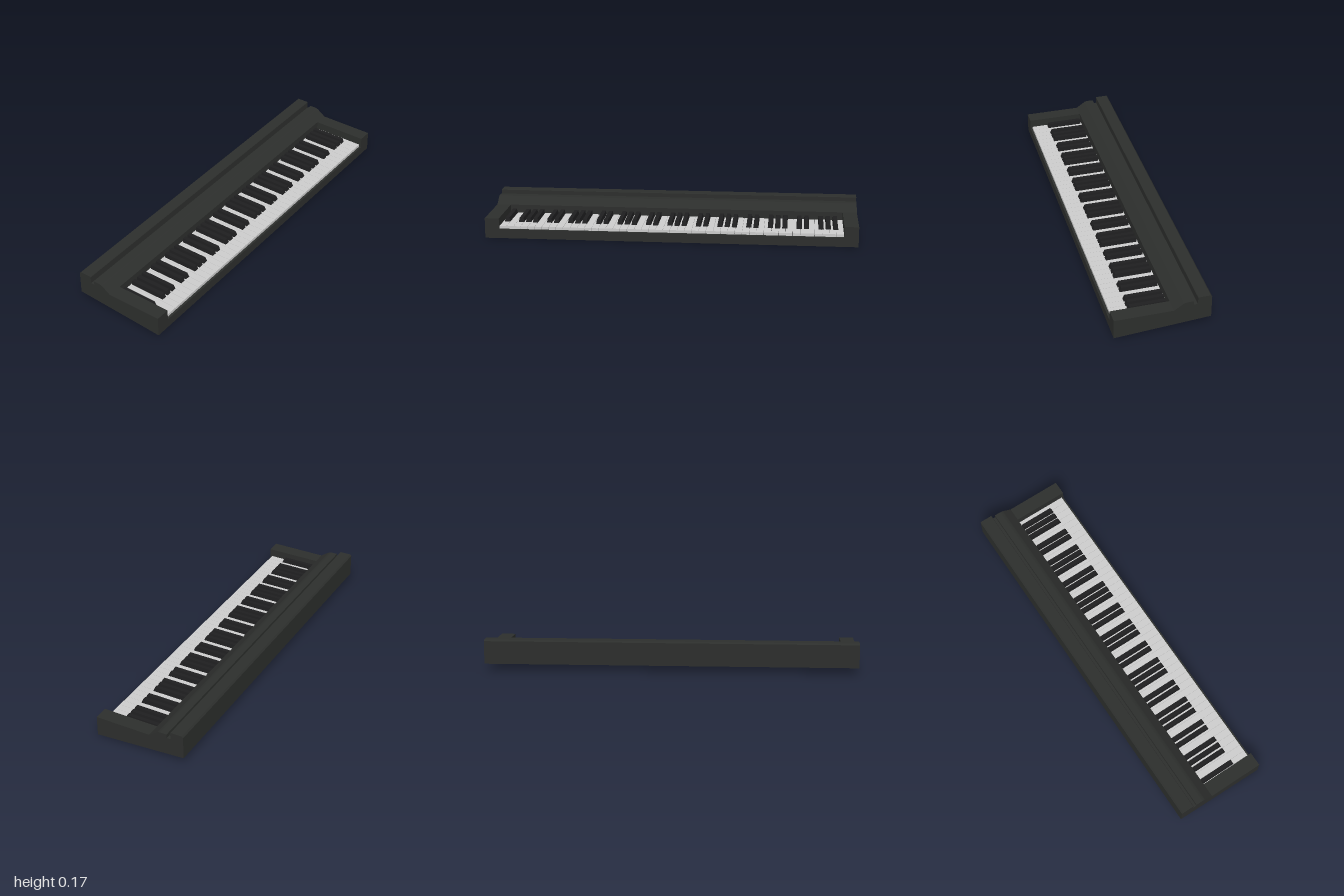
import * as THREE from 'three';

const mat = (color) => new THREE.MeshStandardMaterial({ color, flatShading: true });
const caseMat = mat(0x2c2e2c);
const plateMat = mat(0x181818);
const blackMat = mat(0x1e1e1f);
const whiteMat = mat(0xcccccc);

const BAY = 0.923;        // half length of the key bay
const BAY_BACK = -0.056;  // where the key bay meets the rear housing
const RAIL = 0.238;       // inner face of the front rail
const under = (x) => 0.0175 - 0.07 * x; // sloping underside

function add(parent, name, geometry, material, x = 0, y = 0, z = 0) {
  const mesh = new THREE.Mesh(geometry, material);
  mesh.name = name;
  mesh.position.set(x, y, z);
  parent.add(mesh);
  return mesh;
}

// Cross-section in x/y swept along z between z0 and z1
function sweep(points, z0, z1) {
  const shape = new THREE.Shape(points.map(([x, y]) => new THREE.Vector2(x, y)));
  return new THREE.ExtrudeGeometry(shape, { depth: z1 - z0, bevelEnabled: false }).translate(0, 0, z0);
}

// Box standing on y = 0 whose top is drawn in at the front and the sides
function blackKeyGeometry(length, height, width) {
  const g = new THREE.BoxGeometry(length, height, width).translate(0, height / 2, 0);
  const p = g.attributes.position;
  for (let i = 0; i < p.count; i++) {
    if (p.getY(i) < height / 2) continue;
    p.setZ(i, p.getZ(i) * 0.74);
    if (p.getX(i) > 0) p.setX(i, p.getX(i) - 0.01);
  }
  g.computeVertexNormals();
  return g;
}

export function createModel() {
  const model = new THREE.Group();
  model.name = 'keyboard';

  // Rear housing: raised back, music-rest slot and slope down to the keys
  const rear = [
    [-0.25, under(-0.25)], [BAY_BACK, under(BAY_BACK)], [BAY_BACK, 0.109],
    [-0.105, 0.143], [-0.112, 0.1455], [-0.12, 0.147], [-0.157, 0.147], [-0.157, 0.126],
    [-0.178, 0.126], [-0.178, 0.164], [-0.18, 0.166], [-0.243, 0.166], [-0.25, 0.158],
  ];
  add(model, 'rearHousing', sweep(rear, -BAY, BAY), caseMat);

  // End blocks: the same section with the cheek running to the front
  const cheek = [rear[0], [0.25, 0], [0.25, 0.109], ...rear.slice(2)];
  add(model, 'leftEndBlock', sweep(cheek, BAY, 1), caseMat);
  add(model, 'rightEndBlock', sweep(cheek, -1, -BAY), caseMat);

  // Front rail and the recessed plate under the keys
  add(model, 'frontRail',
    sweep([[RAIL, under(RAIL)], [0.25, 0], [0.25, 0.05], [RAIL, 0.05]], -BAY, BAY), caseMat);
  add(model, 'bottomPlate',
    sweep([[BAY_BACK, under(BAY_BACK) + 0.012], [RAIL, under(RAIL) + 0.012],
      [RAIL, 0.045], [BAY_BACK, 0.045]], -BAY, BAY), plateMat);

  // White keys
  const keys = new THREE.Group();
  keys.name = 'keys';
  model.add(keys);
  const count = 48;
  const pitch = (2 * BAY) / count;
  const keyLength = 0.238 - BAY_BACK;
  const whiteGeo = new THREE.BoxGeometry(keyLength, 0.019, pitch - 0.0014);
  for (let i = 0; i < count; i++) {
    add(keys, 'whiteKey', whiteGeo, whiteMat,
      BAY_BACK + keyLength / 2, 0.0555, -BAY + (i + 0.5) * pitch);
  }

  // Black keys in alternating groups of three and two
  const blackGeo = blackKeyGeometry(0.2, 0.026, 0.029);
  for (let i = 1; i < count; i++) {
    if (![1, 2, 3, 5, 6].includes(i % 7)) continue;
    add(keys, 'blackKey', blackGeo, blackMat, 0.05, 0.062, -0.92 + i * 0.0387);
  }
  return model;
}
